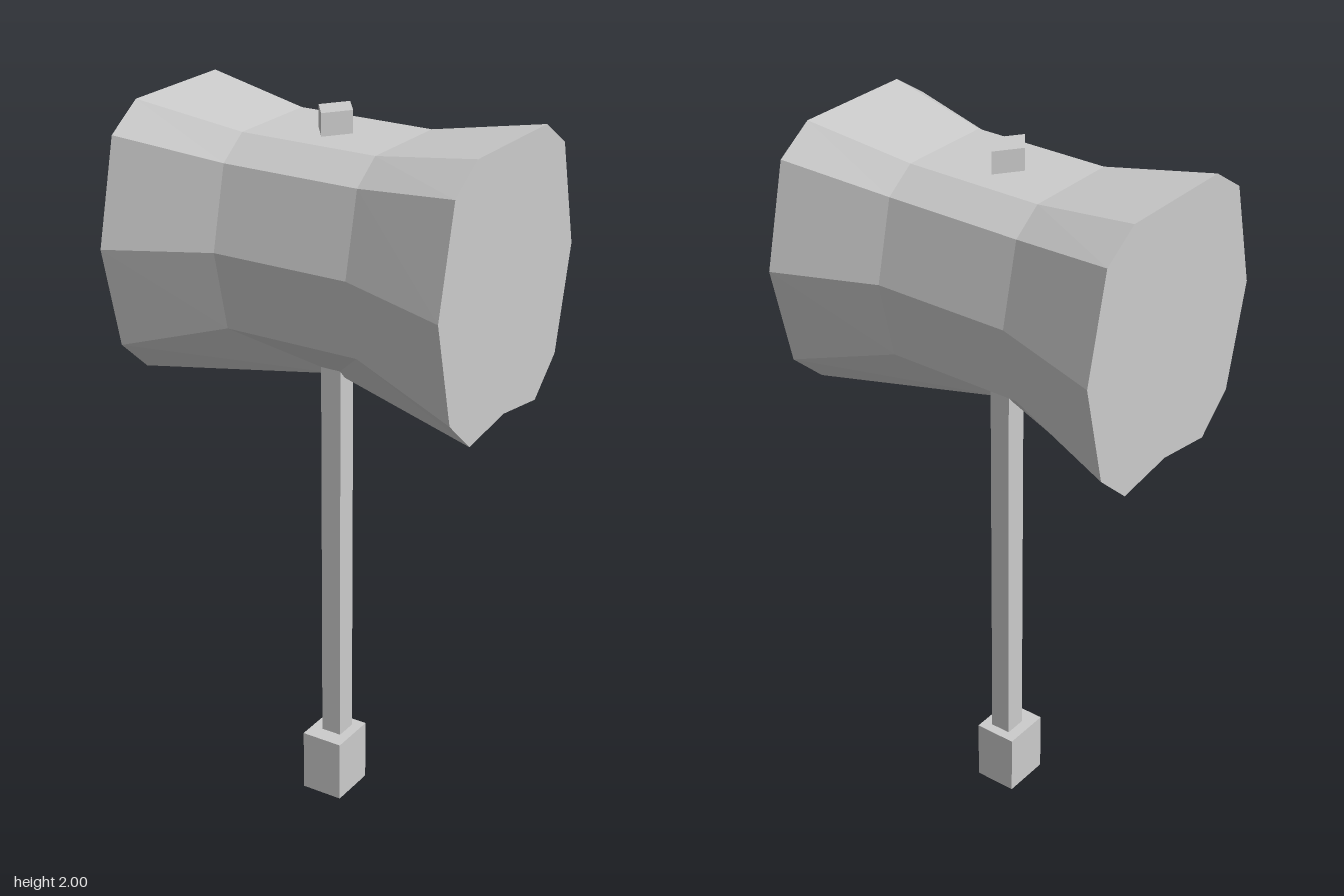
import * as THREE from 'three';

const material = new THREE.MeshStandardMaterial({ color: 0xcccccc, flatShading: true });

// Half cross-sections as [z, y], from the top edge down to the underside.
const END = [[0.175, 1.99], [0.28, 1.92], [0.348, 1.635], [0.28, 1.35], [0.175, 1.255]];
const WAIST = [[0.137, 1.94], [0.22, 1.88], [0.272, 1.66], [0.22, 1.44]];
const KEEL_Y = 1.28;

// Full ring at x; points missing from a profile collapse onto the handle socket.
function makeRing(x, profile) {
  const socket = new THREE.Vector3(0, KEEL_Y, 0);
  const side = (sign) => END.map((_, i) =>
    profile[i] ? new THREE.Vector3(x, profile[i][1], sign * profile[i][0]) : socket);
  const keel = profile === END ? new THREE.Vector3(x, KEEL_Y, 0) : socket;
  return [...side(1), keel, ...side(-1).reverse()];
}

// Flared hammer head, skinned between four rings and capped at both ends
function headGeometry() {
  const rings = [makeRing(-0.497, END), makeRing(-0.195, WAIST), makeRing(0.195, WAIST), makeRing(0.497, END)];
  const points = [];
  const tri = (a, b, c) => {
    if (!a.equals(b) && !b.equals(c) && !c.equals(a)) points.push(a, b, c);
  };
  const n = rings[0].length;
  for (let i = 0; i < n; i++) {
    const k = (i + 1) % n;
    for (let j = 0; j < 3; j++) {
      const [p, q] = [rings[j], rings[j + 1]];
      tri(p[i], p[k], q[k]);
      tri(p[i], q[k], q[i]);
    }
    tri(new THREE.Vector3(0.497, 1.635, 0), rings[3][i], rings[3][k]);
    tri(new THREE.Vector3(-0.497, 1.635, 0), rings[0][k], rings[0][i]);
  }
  const geometry = new THREE.BufferGeometry().setFromPoints(points);
  geometry.computeVertexNormals();
  return geometry;
}

export function createModel() {
  const group = new THREE.Group();
  const add = (name, geometry, x, y, z) => {
    const mesh = new THREE.Mesh(geometry, material);
    mesh.name = name;
    mesh.position.set(x, y, z);
    group.add(mesh);
    return mesh;
  };

  add('head', headGeometry(), 0, 0, 0);

  // Square shaft, running from the pommel up into the head
  add('handle', new THREE.BoxGeometry(0.06, 1.14, 0.064), 0, 0.74, 0);
  add('pommel', new THREE.BoxGeometry(0.122, 0.18, 0.14), -0.002, 0.09, 0.01);

  // Diamond-shaped shaft tip showing above the head
  const tip = add('shaftTip', new THREE.CylinderGeometry(1, 1, 0.1, 4), -0.004, 1.95, 0);
  tip.scale.set(0.051, 1, 0.068);

  return group;
}
